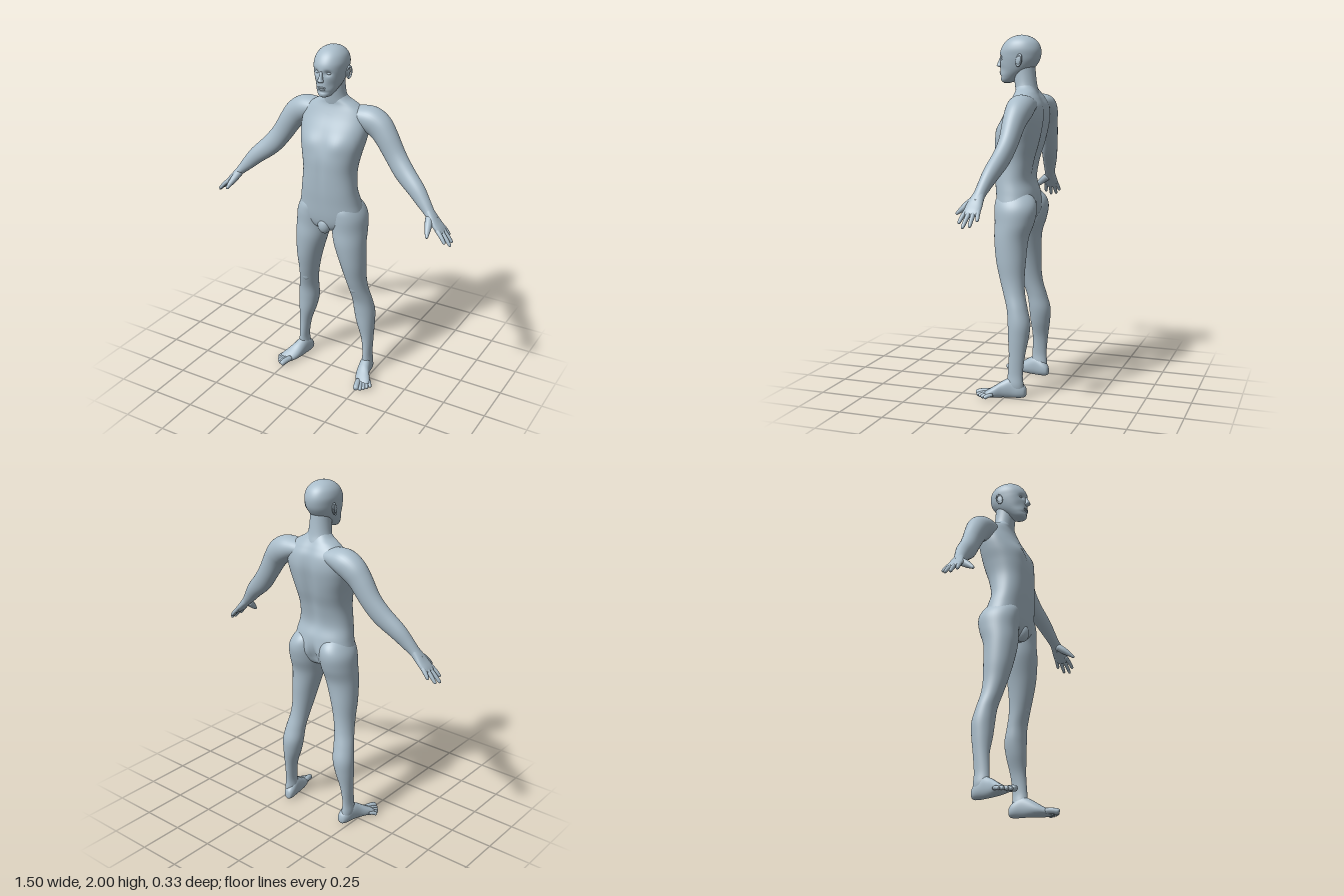
import * as THREE from 'three';

const V = (x, y, z) => new THREE.Vector3(x, y, z);
const UP = V(0, 1, 0), DOWN = V(0, -1, 0), FRONT = V(0, 0, 1);
const gauss = (d, w) => Math.exp(-(d * d) / (w * w));

// Smooth skin over sections [x, y, z, halfWidth, halfDepth].
// dir fixes the section normal; without it sections follow the path.
function loft(sections, { dir, ref = FRONT, steps = 6, sides = 32, power = 2, tweak } = {}) {
  const path = new THREE.CatmullRomCurve3(sections.map(s => V(s[0], s[1], s[2])), false, 'catmullrom', 0.5);
  const size = new THREE.CatmullRomCurve3(sections.map(s => V(s[3], s[4], 0)), false, 'catmullrom', 0.5);
  const rings = (sections.length - 1) * steps;
  const pos = [], index = [];
  const put = p => { if (tweak) tweak(p); pos.push(p.x, p.y, p.z); };
  const bend = c => Math.sign(c) * Math.pow(Math.abs(c), 2 / power);
  for (let i = 0; i <= rings; i++) {
    const c = path.getPoint(i / rings), r = size.getPoint(i / rings);
    const t = dir || path.getTangent(i / rings);
    const v = ref.clone().addScaledVector(t, -ref.dot(t)).normalize();
    const u = v.clone().cross(t);
    for (let j = 0; j < sides; j++) {
      const a = j / sides * Math.PI * 2;
      put(c.clone().addScaledVector(u, r.x * bend(Math.cos(a))).addScaledVector(v, r.y * bend(Math.sin(a))));
    }
  }
  put(path.getPoint(0));
  put(path.getPoint(1));
  const first = (rings + 1) * sides, last = rings * sides;
  for (let j = 0; j < sides; j++) {
    const k = (j + 1) % sides;
    for (let i = 0; i < rings; i++) {
      const a = i * sides + j, b = i * sides + k;
      index.push(a, b, a + sides, b, b + sides, a + sides);
    }
    index.push(first, k, j, first + 1, last + j, last + k);
  }
  const g = new THREE.BufferGeometry();
  g.setAttribute('position', new THREE.Float32BufferAttribute(pos, 3));
  g.setIndex(index);
  g.computeVertexNormals();
  return g;
}

// Horizontal sections given as [y, halfWidth, zFront, zBack]
const slices = (list, x = 0) => list.map(([y, w, f, b]) => [x, y, (f + b) / 2, w, (f - b) / 2]);

function ellipsoid(x, y, z, rx, ry, rz, tiltX = 0) {
  return new THREE.SphereGeometry(1, 24, 16).scale(rx, ry, rz).rotateX(tiltX).translate(x, y, z);
}

// Finger or toe with a rounded tip
function digit(a, b, r0, r1, lift = 0) {
  const at = (t, r) => {
    const p = a.clone().lerp(b, t);
    return [p.x, p.y + lift * Math.sin(t * Math.PI), p.z, r, r];
  };
  return loft([at(0, r0), at(0.35, r0 * 0.95), at(0.65, (r0 + r1) / 2), at(0.88, r1), at(0.97, r1 * 0.7), at(1, r1 * 0.15)],
    { sides: 14, steps: 4, ref: V(0.05, 1, 0.1).normalize() });
}

function mirrored(geometry) {
  const g = geometry.clone().scale(-1, 1, 1);
  const ix = g.index.array;
  for (let i = 0; i < ix.length; i += 3) [ix[i], ix[i + 1]] = [ix[i + 1], ix[i]];
  g.computeVertexNormals();
  return g;
}

export function createModel() {
  const model = new THREE.Group();
  model.name = 'standingFigure';
  const skin = new THREE.MeshStandardMaterial({ color: 0xaabdca });
  skin.name = 'blueGreyClay';
  const add = (name, geometry) => {
    const mesh = new THREE.Mesh(geometry, skin);
    mesh.name = name;
    model.add(mesh);
  };
  const pair = (name, geometry) => {
    add(name + 'Left', geometry);
    add(name + 'Right', mirrored(geometry));
  };

  // Torso with chest muscles, midline and spine groove
  add('torso', loft(slices([
    [0.945, 0.02, 0.05, -0.04], [0.965, 0.09, 0.078, -0.08], [1.0, 0.165, 0.095, -0.105],
    [1.05, 0.192, 0.105, -0.122], [1.13, 0.178, 0.113, -0.113], [1.21, 0.163, 0.12, -0.092],
    [1.31, 0.155, 0.124, -0.11], [1.4, 0.168, 0.122, -0.138], [1.48, 0.188, 0.1, -0.155],
    [1.55, 0.198, 0.07, -0.164], [1.61, 0.19, 0.038, -0.158], [1.65, 0.165, 0.02, -0.14],
    [1.68, 0.125, 0.01, -0.122], [1.705, 0.082, 0.008, -0.108], [1.74, 0.05, 0, -0.09],
  ]), {
    dir: UP, sides: 72, power: 2.3, tweak: p => {
      const x = Math.abs(p.x);
      if (p.z > 0.03) {
        p.z += 0.012 * gauss(x - 0.085, 0.06) * gauss(p.y - 1.48, 0.05);
        p.z -= 0.005 * gauss(x, 0.018) * gauss(p.y - 1.36, 0.16);
      } else if (p.z < -0.04) {
        p.z += 0.022 * gauss(x, 0.035) * gauss(p.y - 1.42, 0.22);
        p.z += 0.03 * gauss(x, 0.025) * gauss(p.y - 1.02, 0.06);
      }
    },
  }));
  add('groin', ellipsoid(0, 0.99, 0.072, 0.04, 0.052, 0.038));

  // Neck
  add('neck', loft(slices([
    [1.64, 0.1, 0.0, -0.125], [1.68, 0.083, 0.01, -0.117], [1.72, 0.066, 0.017, -0.106],
    [1.78, 0.059, 0.025, -0.098], [1.86, 0.058, 0.03, -0.092],
  ]), { dir: UP, sides: 40 }));

  // Head with eye sockets, cheeks and a mouth hollow
  add('head', loft(slices([
    [1.738, 0.012, 0.085, 0.05], [1.748, 0.034, 0.099, 0.02], [1.775, 0.052, 0.104, -0.025],
    [1.81, 0.068, 0.105, -0.08], [1.85, 0.08, 0.104, -0.113], [1.885, 0.086, 0.106, -0.126],
    [1.92, 0.088, 0.1, -0.127], [1.955, 0.078, 0.08, -0.113], [1.98, 0.057, 0.052, -0.087],
    [1.994, 0.031, 0.02, -0.055], [2.0, 0.003, -0.012, -0.022],
  ]), {
    dir: UP, sides: 80, steps: 8, power: 2.1, tweak: p => {
      if (p.z < 0.03) return;
      const x = Math.abs(p.x);
      p.z -= 0.015 * gauss(x - 0.033, 0.017) * gauss(p.y - 1.874, 0.014);
      p.z -= 0.006 * gauss(x - 0.048, 0.02) * gauss(p.y - 1.81, 0.025);
      p.z -= 0.006 * gauss(p.y - 1.772, 0.008) * gauss(x, 0.03);
    },
  }));
  add('nose', loft([
    [0, 1.885, 0.097, 0.008, 0.01], [0, 1.865, 0.103, 0.009, 0.013], [0, 1.845, 0.11, 0.012, 0.015],
    [0, 1.834, 0.112, 0.017, 0.017], [0, 1.826, 0.107, 0.013, 0.012], [0, 1.823, 0.104, 0.003, 0.003],
  ], { dir: DOWN, sides: 24 }));
  add('upperLip', ellipsoid(0, 1.797, 0.101, 0.024, 0.005, 0.009));
  add('lowerLip', ellipsoid(0, 1.787, 0.1, 0.021, 0.006, 0.009));
  pair('eye', ellipsoid(0.033, 1.873, 0.078, 0.014, 0.009, 0.013));
  pair('ear', ellipsoid(0.086, 1.858, -0.03, 0.008, 0.031, 0.018, -0.2));
  pair('earRim', new THREE.TorusGeometry(0.021, 0.005, 10, 28).scale(0.8, 1.4, 1)
    .rotateY(Math.PI / 2 - 0.35).rotateX(-0.2).translate(0.091, 1.86, -0.032));

  // Arms from shoulder to wrist
  pair('arm', loft([
    [0.09, 1.62, -0.075, 0.045, 0.065], [0.15, 1.615, -0.077, 0.06, 0.072], [0.205, 1.602, -0.08, 0.073, 0.075],
    [0.255, 1.572, -0.079, 0.074, 0.069], [0.298, 1.524, -0.074, 0.067, 0.061], [0.361, 1.428, -0.066, 0.06, 0.051],
    [0.424, 1.352, -0.05, 0.058, 0.047], [0.508, 1.279, -0.026, 0.049, 0.042], [0.56, 1.225, -0.01, 0.039, 0.035],
    [0.602, 1.18, 0.002, 0.028, 0.031], [0.635, 1.146, 0.008, 0.021, 0.036],
  ], { sides: 36 }));

  // Hands: palm, four fingers and a thumb
  pair('palm', loft([
    [0.59, 1.193, 0, 0.027, 0.028], [0.62, 1.162, 0.006, 0.023, 0.035], [0.65, 1.13, 0.011, 0.019, 0.043],
    [0.676, 1.104, 0.013, 0.016, 0.044], [0.691, 1.089, 0.013, 0.011, 0.039], [0.696, 1.084, 0.013, 0.003, 0.025],
  ], { power: 2.3 }));
  [
    ['indexFinger', V(0.667, 1.11, 0.044), V(0.727, 1.048, 0.066)],
    ['middleFinger', V(0.675, 1.106, 0.022), V(0.748, 1.028, 0.038)],
    ['ringFinger', V(0.675, 1.106, 0.001), V(0.742, 1.034, 0.002)],
    ['littleFinger', V(0.665, 1.114, -0.018), V(0.713, 1.06, -0.028)],
  ].forEach(([name, a, b]) => pair(name, digit(a, b, 0.0125, 0.009, 0.004)));
  pair('thumb', digit(V(0.612, 1.16, 0.018), V(0.642, 1.082, 0.114), 0.022, 0.01, 0.002));

  // Legs from buttock to ankle
  pair('leg', loft([
    [0.09, 1.15, -0.005, 0.055, 0.07], [0.1, 1.1, -0.015, 0.083, 0.11], [0.11, 1.045, -0.02, 0.098, 0.12],
    [0.115, 0.97, -0.015, 0.1, 0.111], [0.124, 0.88, 0, 0.093, 0.096], [0.143, 0.76, -0.004, 0.075, 0.084],
    [0.155, 0.66, -0.015, 0.061, 0.07], [0.167, 0.58, -0.031, 0.056, 0.061], [0.181, 0.5, -0.053, 0.059, 0.058],
    [0.19, 0.42, -0.067, 0.062, 0.063], [0.199, 0.34, -0.067, 0.053, 0.058], [0.214, 0.24, -0.063, 0.034, 0.046],
    [0.22, 0.14, -0.056, 0.026, 0.043], [0.22, 0.08, -0.056, 0.031, 0.047], [0.218, 0.04, -0.06, 0.028, 0.045],
  ], { dir: DOWN, sides: 44 }));
  pair('kneecap', ellipsoid(0.163, 0.6, 0.015, 0.03, 0.036, 0.02));

  // Feet with flat soles and five toes
  pair('foot', loft([
    [0.208, 0.03, -0.117, 0.006, 0.012], [0.209, 0.036, -0.108, 0.024, 0.03], [0.213, 0.046, -0.08, 0.034, 0.046],
    [0.22, 0.056, -0.035, 0.035, 0.058], [0.23, 0.047, 0.01, 0.039, 0.049], [0.246, 0.035, 0.05, 0.046, 0.035],
    [0.26, 0.026, 0.082, 0.046, 0.024], [0.262, 0.022, 0.1, 0.036, 0.016], [0.262, 0.02, 0.106, 0.02, 0.008],
  ], { dir: FRONT, ref: UP, power: 2.2, tweak: p => { p.y = Math.max(p.y, 0.003); } }));
  [
    [0.238, 0.09, 0.259, 0.163, 0.018], [0.258, 0.09, 0.28, 0.151, 0.0125], [0.27, 0.082, 0.295, 0.135, 0.012],
    [0.282, 0.07, 0.308, 0.116, 0.0115], [0.29, 0.055, 0.319, 0.095, 0.0115],
  ].forEach(([x0, z0, x1, z1, r], i) =>
    pair('toe' + (i + 1), digit(V(x0, 0.026, z0), V(x1, r, z1), r, r * 0.9, 0.004)));

  return model;
}
